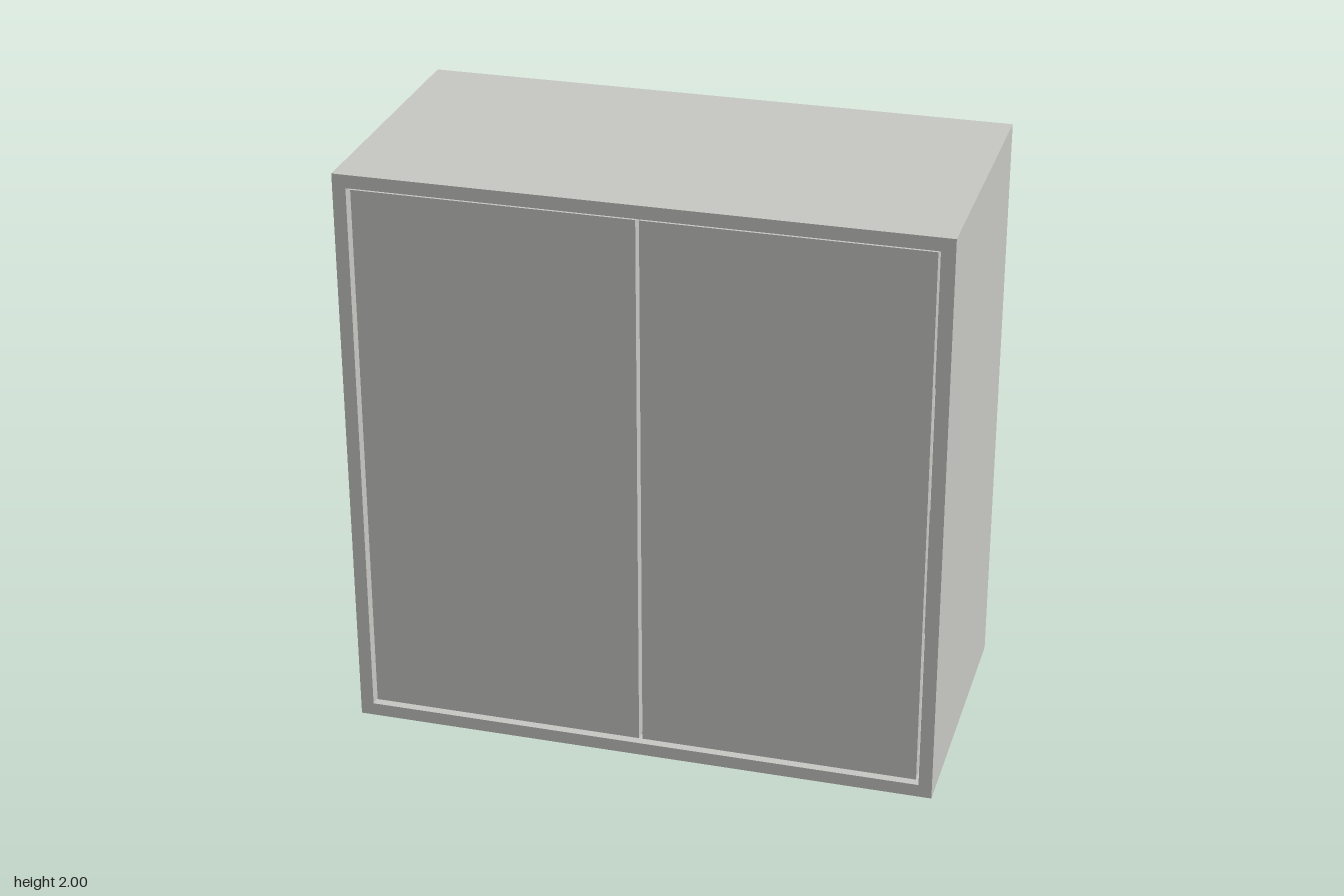
import * as THREE from 'three';

export function createModel() {
  const cabinet = new THREE.Group();
  cabinet.name = 'cabinet';
  const grey = new THREE.MeshStandardMaterial({ color: 0xc8c8c3 });
  grey.name = 'warm grey';
  const black = new THREE.MeshStandardMaterial({ color: 0x111111 });
  black.name = 'black';

  const FRONT = 0.52, BACK = -0.48, T = 0.045;

  function add(name, geometry, material, x = 0, y = 0, z = 0) {
    const mesh = new THREE.Mesh(geometry, material);
    mesh.name = name;
    mesh.position.set(x, y, z);
    cabinet.add(mesh);
    return mesh;
  }
  // Box given by its limits on each axis
  function box(name, material, x0, x1, y0, y1, z0, z1) {
    return add(name, new THREE.BoxGeometry(x1 - x0, y1 - y0, z1 - z0), material,
      (x0 + x1) / 2, (y0 + y1) / 2, (z0 + z1) / 2);
  }

  // Four carcass panels with mitred corners
  const mitre = new THREE.Shape([
    new THREE.Vector2(-1, -1), new THREE.Vector2(1, -1),
    new THREE.Vector2(1 - T, -1 + T), new THREE.Vector2(-1 + T, -1 + T),
  ]);
  const panel = new THREE.ExtrudeGeometry(mitre, { depth: FRONT - BACK, bevelEnabled: false });
  ['bottomPanel', 'leftPanel', 'topPanel', 'rightPanel'].forEach((name, i) => {
    add(name, panel, grey, 0, 1, BACK).rotation.z = i * Math.PI / 2;
  });

  // Two inset doors with a narrow gap all round
  box('leftDoor', grey, 0.006, 0.944, 0.057, 1.946, 0.465, 0.508);
  box('rightDoor', grey, -0.944, -0.006, 0.057, 1.946, 0.465, 0.508);

  // Interior divider and shelves
  box('divider', grey, -0.02, 0.02, T, 2 - T, -0.43, 0.46);
  for (const s of [-1, 1]) {
    const inner = s * 0.02, outer = s * (1 - T);
    box('shelf', grey, Math.min(inner, outer), Math.max(inner, outer), 0.99, 1.03, -0.43, 0.44);
  }

  // Recessed back panel
  box('backPanel', grey, -0.947, 0.947, 0.053, 1.947, -0.45, -0.43);

  // Back panel clips, three along each edge
  const clip = new THREE.CylinderGeometry(0.018, 0.018, 0.018, 16);
  clip.rotateX(Math.PI / 2);
  for (const t of [-0.64, 0, 0.64]) {
    for (const s of [-1, 1]) {
      add('sideClip', clip, black, s * 0.937, 1 + t, -0.458);
      add('edgeClip', clip, black, t, 1 + s * 0.937, -0.458);
    }
  }

  // Wall hangers in the upper back corners: plate and round knob
  const knob = new THREE.LatheGeometry([
    new THREE.Vector2(0.04, 0), new THREE.Vector2(0.04, 0.062),
    new THREE.Vector2(0.036, 0.07), new THREE.Vector2(0, 0.07),
  ], 24);
  knob.rotateX(-Math.PI / 2);
  for (const s of [-1, 1]) {
    const a = s * 0.86, b = s * (1 - T);
    box('hangerPlate', black, Math.min(a, b), Math.max(a, b), 1.83, 1.945, -0.475, -0.45);
    add('hangerKnob', knob, black, s * 0.88, 1.87, -0.45);
  }
  return cabinet;
}
